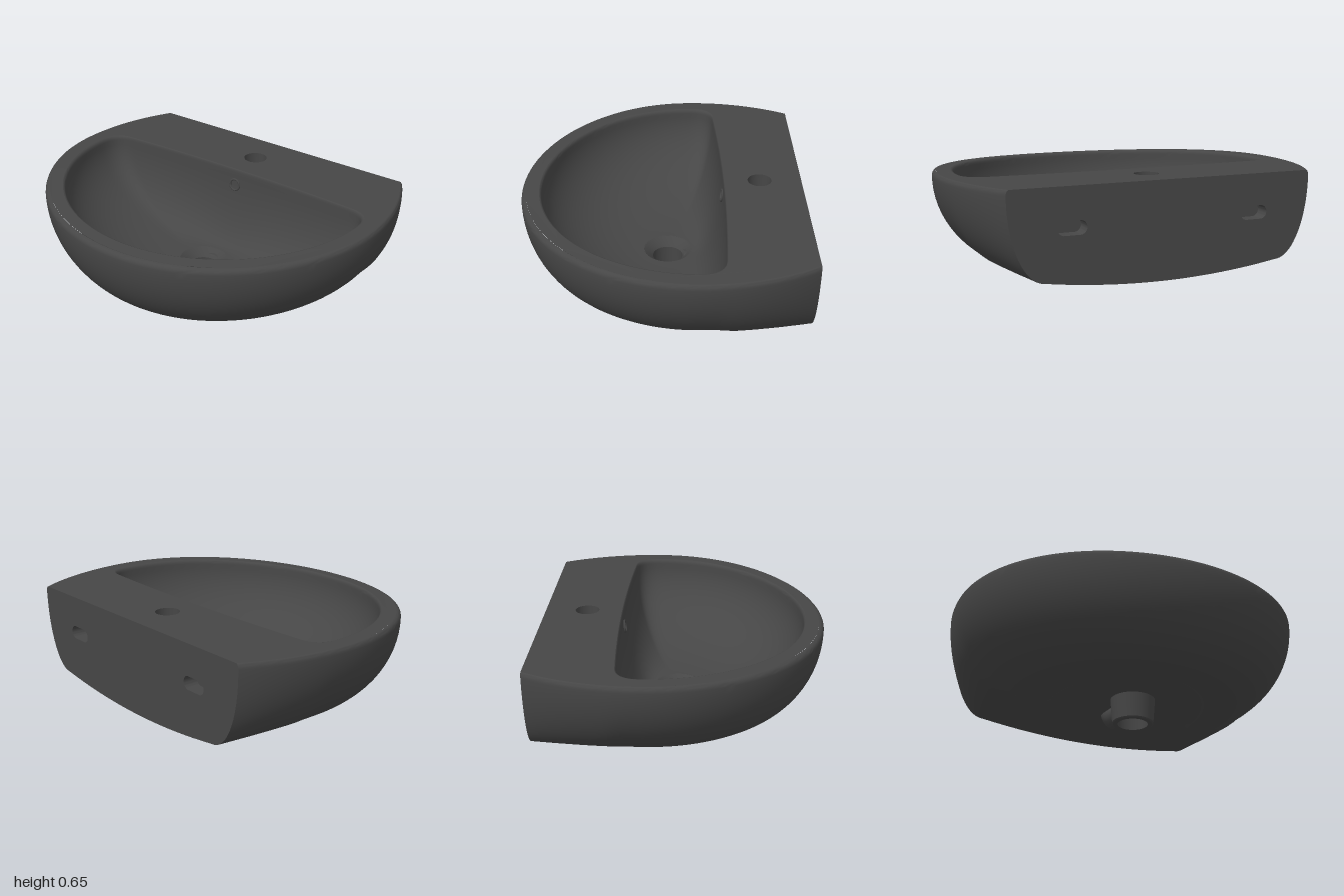
import * as THREE from 'three';
import { toCreasedNormals } from 'three/addons/utils/BufferGeometryUtils.js';

const V = (x, y, z) => new THREE.Vector3(x, y, z);
const { lerp, smoothstep } = THREE.MathUtils;
const BACK = -0.77, DRAIN_Z = -0.035;

// Height of the rim, dipping gently towards the front
const topY = z => 0.655 - 0.03 * Math.max(0, (z + 0.1) / 0.87) ** 2;

// Skin a list of rings; the surface faces (ring direction) x (point direction)
function loft(rings, closed = true) {
  const n = rings[0].length, pos = [], idx = [];
  rings.forEach(r => r.forEach(p => pos.push(p.x, p.y, p.z)));
  for (let i = 0; i < rings.length - 1; i++) {
    for (let j = 0; j < (closed ? n : n - 1); j++) {
      const k = (j + 1) % n, a = i * n + j, b = i * n + k;
      idx.push(a, a + n, b, b, a + n, b + n);
    }
  }
  const g = new THREE.BufferGeometry();
  g.setAttribute('position', new THREE.Float32BufferAttribute(pos, 3));
  g.setIndex(idx);
  return toCreasedNormals(g, 0.7);
}

const steps = (n, f) => Array.from({ length: n + 1 }, (_, i) => f(i / n));

// Point on a circle round the drain, in the direction of p
function drainPoint(p, r, y) {
  const a = Math.atan2(p.z - DRAIN_Z, p.x);
  return V(r * Math.cos(a), y, DRAIN_Z + r * Math.sin(a));
}

// Blind hole: a loop pushed along a direction and closed at its far end
function pocket(loop, dir, centre) {
  const far = loop.map(p => p.clone().add(dir));
  return loft([loop, far, far.map(() => centre.clone().add(dir))]);
}

export function createModel() {
  const group = new THREE.Group();
  const ceramic = new THREE.MeshStandardMaterial({ color: 0x464646 });
  ceramic.name = 'darkCeramic';
  const add = (name, geo) => {
    const m = new THREE.Mesh(geo, ceramic);
    m.name = name;
    group.add(m);
    return m;
  };

  // Outer plan: rim line and lower edge, from back left round the front
  const a0 = -Math.asin(0.59 / 1.1);
  const angles = steps(120, t => lerp(a0, Math.PI - a0, t));
  const rim = angles.map(a => {
    const s = Math.sin(a), z = -0.18 + (s < 0 ? 1.1 : 0.95) * s;
    return V(Math.cos(a), topY(z) - 0.03, z);
  });
  const foot = angles.map(a => {
    const s = Math.sin(a), c = Math.cos(a), w = smoothstep(-s, 0.04, 0.17);
    return V(Math.sign(c) * lerp(0.45 * Math.abs(c), 0.65, w),
      lerp(0.125, 0.19, w), -0.18 + (s < 0 ? 1.1 : 0.54) * s);
  });

  // Outer shell: quarter-ellipse sides, then a rounded rim edge
  const shell = steps(20, t => {
    const f = t * Math.PI / 2, s = Math.sin(f), c = 1 - Math.cos(f);
    return rim.map((p, i) => V(lerp(foot[i].x, p.x, s), lerp(foot[i].y, p.y, c), lerp(foot[i].z, p.z, s)));
  });
  for (let k = 1; k <= 5; k++) {
    const f = k / 5 * Math.PI / 2, s = 1 - 0.018 * (1 - Math.cos(f));
    shell.push(rim.map(p => V(p.x * s, p.y + 0.03 * Math.sin(f), BACK + (p.z - BACK) * s)));
  }
  add('outerShell', loft(shell, false));

  // Underside: shallow recess running in to the waste outlet
  const backEdge = steps(16, t => lerp(-0.65, 0.65, t)).slice(1, -1)
    .map(x => V(x, 0.14 + 0.05 * (x / 0.65) ** 2, BACK));
  const under = [...foot, ...backEdge];
  add('underside', loft([0, 0.2, 0.4, 0.6, 0.75, 0.85, 0.91, 0.96, 1].map(t => under.map(p => {
    const c = drainPoint(p, 0.1, 0.145);
    return V(lerp(c.x, p.x, t), lerp(0.145, p.y, t ** (p.y < 0.145 ? 8 : 2)), lerp(c.z, p.z, t));
  }))));

  // Back wall with two slotted fixing holes
  const last = rim.length - 1;
  const wallOutline = [
    ...shell.map(r => r[0]),
    ...shell.map(r => r[last]).reverse(),
    ...backEdge,
  ].map(p => new THREE.Vector2(p.x, p.y));
  const wall = new THREE.Shape(wallOutline);
  for (const side of [-1, 1]) {
    const slot = steps(31, t => {
      const a = (t * 31 + 0.5) / 32 * Math.PI * 2;
      return V(side * 0.51 + Math.sign(Math.cos(a)) * 0.042 + 0.036 * Math.cos(a), 0.45 + 0.036 * Math.sin(a), BACK);
    });
    wall.holes.push(new THREE.Path(slot.map(p => new THREE.Vector2(p.x, p.y))));
    add(side > 0 ? 'fixingSlotLeft' : 'fixingSlotRight',
      pocket(slot, V(0, 0, 0.08), V(side * 0.51, 0.45, BACK)));
  }
  add('backWall', new THREE.ShapeGeometry(wall).rotateY(Math.PI).translate(0, 0, BACK));

  // Bowl opening: half ellipse with a softly bowed back edge
  const opening = new THREE.Path();
  opening.absellipse(0, -0.18, 0.885, 0.84, 0, Math.PI, false);
  opening.quadraticCurveTo(-0.885, -0.305, -0.77, -0.315);
  opening.quadraticCurveTo(0, -0.365, 0.77, -0.315);
  opening.quadraticCurveTo(0.885, -0.305, 0.885, -0.18);
  const mouth = opening.getSpacedPoints(180).slice(0, -1).map(p => V(p.x, topY(p.y), p.y));

  // Bowl: rounded lip, then a curved hollow down to the waste
  const bowl = steps(4, t => {
    const f = t * Math.PI / 2, s = 1 + 0.02 * (1 - Math.sin(f));
    return mouth.map(p => V(p.x * s, topY(p.z * s) - 0.025 * (1 - Math.cos(f)), p.z * s));
  });
  bowl.push(...steps(24, t => {
    const f = (1 - t) * Math.PI / 2;
    return mouth.map(p => {
      const d = drainPoint(p, 0.133, 0.205), s = Math.sin(f);
      return V(lerp(d.x, p.x, s), lerp(d.y, p.y - 0.025, 1 - Math.cos(f)), lerp(d.z, p.z, s));
    });
  }).slice(1));
  add('bowl', loft(bowl));

  // Top deck with the tap hole
  const tap = steps(31, t => {
    const a = t * 31 / 32 * Math.PI * 2;
    return V(0.066 * Math.cos(a), 0.655, -0.54 + 0.066 * Math.sin(a));
  });
  const flat = p => new THREE.Vector2(p.x, -p.z);
  const deckShape = new THREE.Shape(shell[shell.length - 1].map(flat));
  deckShape.holes.push(new THREE.Path(bowl[0].map(flat)), new THREE.Path(tap.map(flat)));
  const deck = new THREE.ShapeGeometry(deckShape).rotateX(-Math.PI / 2);
  const dp = deck.attributes.position;
  for (let i = 0; i < dp.count; i++) dp.setY(i, topY(dp.getZ(i)));
  deck.computeVertexNormals();
  add('deck', deck);
  add('tapHole', pocket(tap, V(0, -0.12, 0), V(0, 0.655, -0.54)));

  // Overflow opening on the back of the bowl
  const overflow = add('overflowRing', new THREE.TorusGeometry(0.032, 0.006, 8, 28));
  overflow.position.set(0, 0.56, -0.333);
  overflow.rotation.x = -0.12;

  // Waste outlet: dished seat, open bore and tapered spigot
  const profile = [[0.136, 0.206], [0.125, 0.198], [0.095, 0.172], [0.085, 0.16], [0.085, 0],
    [0.11, 0], [0.116, 0.006], [0.127, 0.15]].map(p => new THREE.Vector2(...p));
  add('wasteOutlet', toCreasedNormals(new THREE.LatheGeometry(profile, 48), 0.6)).position.z = DRAIN_Z;

  // Overflow channel bending up behind the outlet
  const bend = new THREE.CatmullRomCurve3([
    V(0, 0.11, -0.13), V(0, 0.112, -0.2), V(0, 0.14, -0.28), V(0, 0.21, -0.325)]);
  add('overflowChannel', new THREE.TubeGeometry(bend, 24, 0.075, 24));

  return group;
}
